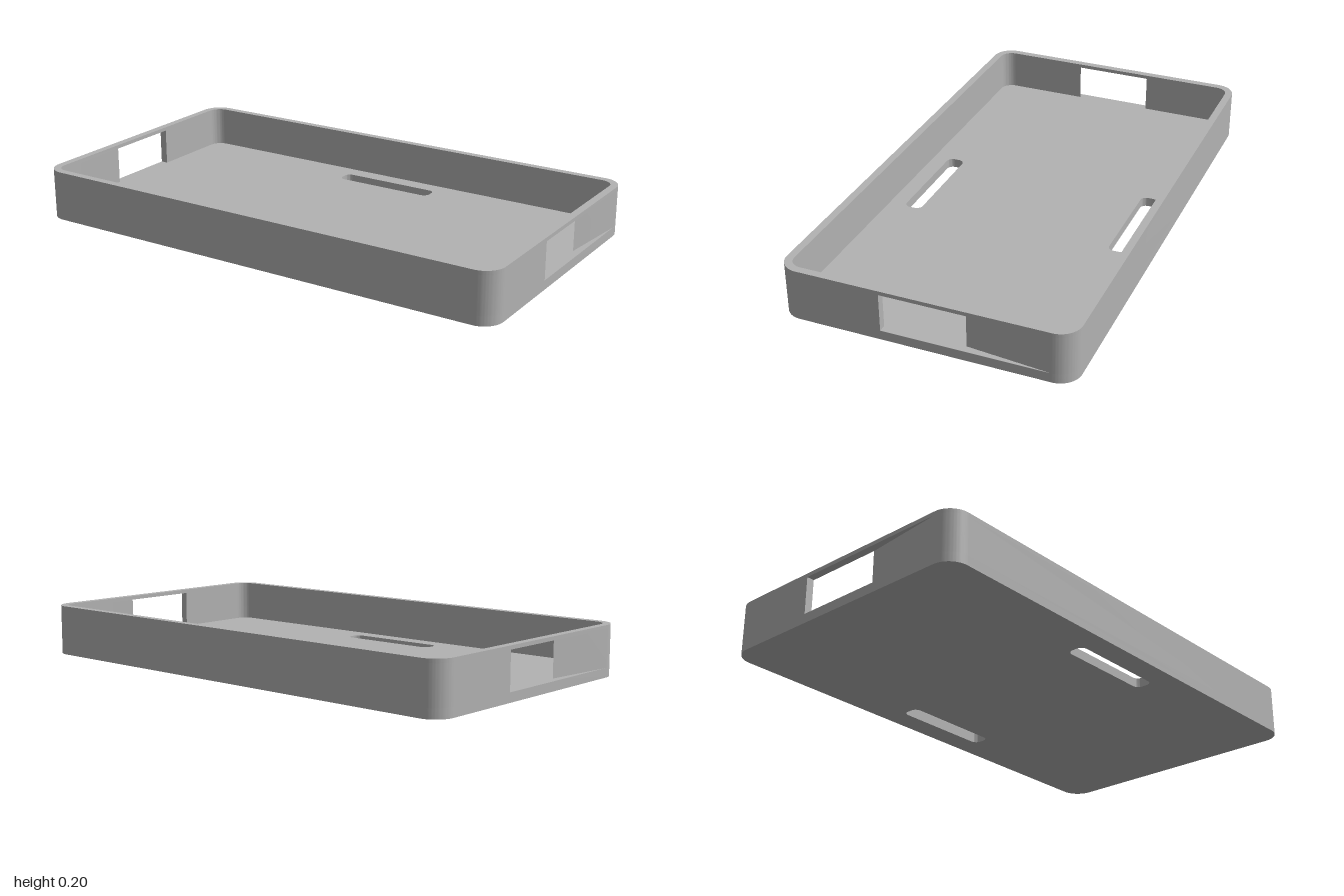
import * as THREE from 'three';
import { toCreasedNormals } from 'three/addons/utils/BufferGeometryUtils.js';

const HX = 1, HZ = 0.558, RADIUS = 0.08, WALL = 0.03;
const HEIGHT = 0.2, FLOOR = 0.037, WINDOW_TOP = 0.185, WINDOW_HALF = 0.157;

// Rounded rectangle centred on (cx, cy)
function roundedRect(path, hx, hy, r, cx = 0, cy = 0) {
  path.absarc(cx + hx - r, cy + hy - r, r, 0, Math.PI / 2);
  path.absarc(cx - hx + r, cy + hy - r, r, Math.PI / 2, Math.PI);
  path.absarc(cx - hx + r, cy - hy + r, r, Math.PI, Math.PI * 1.5);
  path.absarc(cx + hx - r, cy - hy + r, r, Math.PI * 1.5, Math.PI * 2);
  path.closePath();
  return path;
}

// Stand a plan outline up between two heights
function slab(shape, y0, y1) {
  const geometry = new THREE.ExtrudeGeometry(shape, { depth: y1 - y0, bevelEnabled: false, curveSegments: 12 });
  geometry.rotateX(-Math.PI / 2).translate(0, y0, 0);
  return toCreasedNormals(geometry, 0.6);
}

// C-shaped wall outline that stops at the end windows
function wallOutline() {
  const shape = new THREE.Shape();
  const cx = HX - RADIUS, cy = HZ - RADIUS, inner = RADIUS - WALL;
  shape.moveTo(HX, WINDOW_HALF);
  shape.absarc(cx, cy, RADIUS, 0, Math.PI / 2);
  shape.absarc(-cx, cy, RADIUS, Math.PI / 2, Math.PI);
  shape.lineTo(-HX, WINDOW_HALF);
  shape.lineTo(-HX + WALL, WINDOW_HALF);
  shape.absarc(-cx, cy, inner, Math.PI, Math.PI / 2, true);
  shape.absarc(cx, cy, inner, Math.PI / 2, 0, true);
  shape.lineTo(HX - WALL, WINDOW_HALF);
  shape.closePath();
  return shape;
}

export function createModel() {
  const model = new THREE.Group();
  model.name = 'tray';
  const grey = new THREE.MeshStandardMaterial({ color: 0xb2b2b2 });
  grey.name = 'grey';

  function add(name, geometry) {
    const mesh = new THREE.Mesh(geometry, grey);
    mesh.name = name;
    model.add(mesh);
    return mesh;
  }

  // Floor with two strap slots
  const floor = roundedRect(new THREE.Shape(), HX, HZ, RADIUS);
  for (const side of [-1, 1]) {
    floor.holes.push(roundedRect(new THREE.Path(), 0.212, 0.035, 0.025, 0, side * 0.428));
  }
  add('floor', slab(floor, 0, FLOOR));

  // Front and back walls, wrapping round to the end windows
  const wall = slab(wallOutline(), FLOOR, WINDOW_TOP);
  add('backWall', wall);
  add('frontWall', wall).rotation.y = Math.PI;

  // Continuous rim bridging the windows
  const rim = roundedRect(new THREE.Shape(), HX, HZ, RADIUS);
  rim.holes.push(roundedRect(new THREE.Path(), HX - WALL, HZ - WALL, RADIUS - WALL));
  add('rim', slab(rim, WINDOW_TOP, HEIGHT));

  return model;
}
